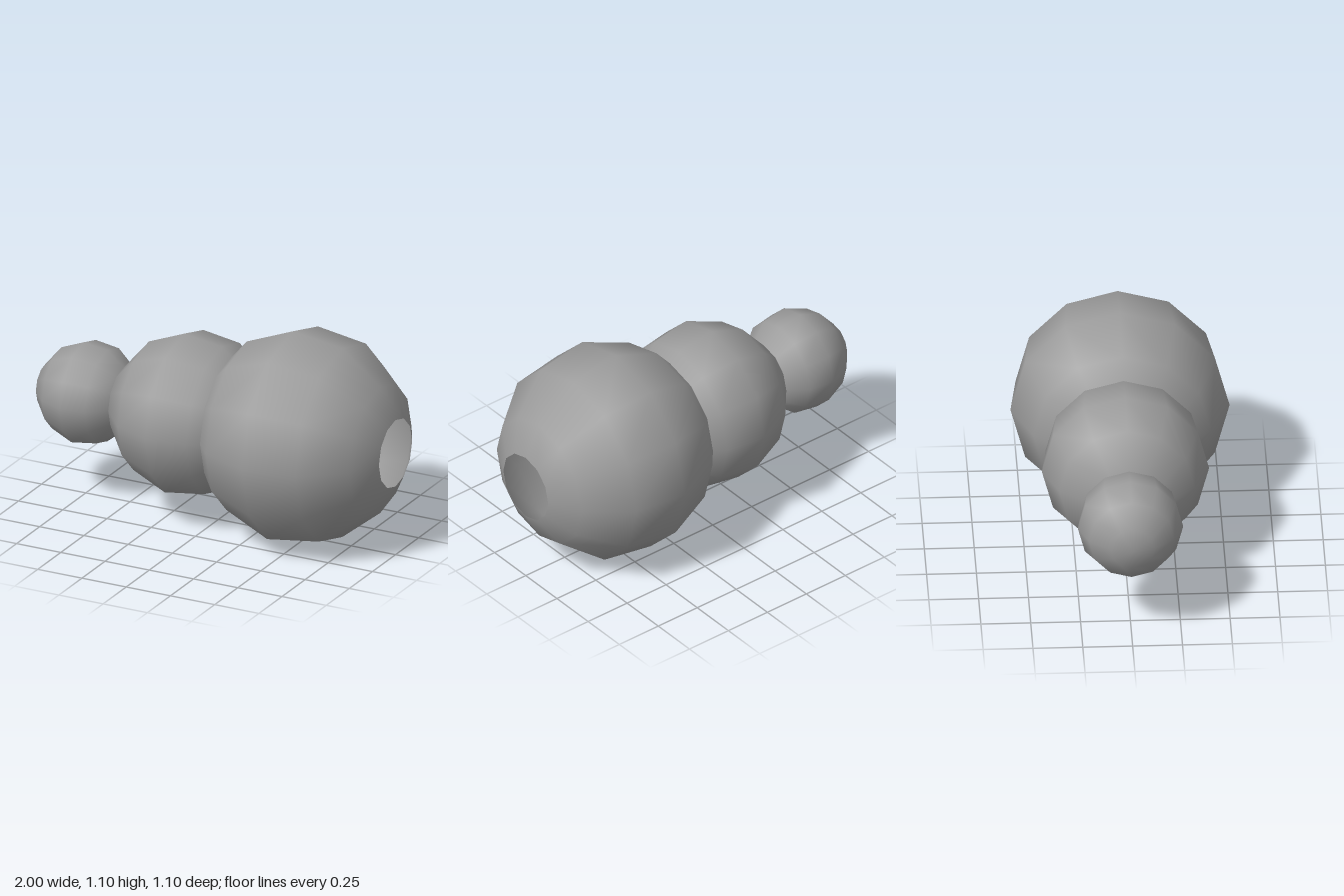
import * as THREE from 'three';

const material = new THREE.MeshStandardMaterial({ color: 0x9b9b9b, side: THREE.DoubleSide });

// Unit ball outline as [along the axis, radius], from the closed pole to the opening
const RINGS = [
  [-1, 0], [-0.905, 0.416], [-0.575, 0.806], [-0.108, 0.994],
  [0.4, 0.925], [0.788, 0.615], [0.944, 0.326],
];

// Twelve-sided hollow ball lying along x, closed at -x and open at +x
function ball(name, x, radius, rings) {
  const profile = rings.map(([along, r]) => new THREE.Vector2(radius * r, radius * along));
  const geometry = new THREE.LatheGeometry(profile, 12);

  // Round, smooth shading
  const p = geometry.attributes.position;
  const n = geometry.attributes.normal;
  const v = new THREE.Vector3();
  for (let i = 0; i < p.count; i++) {
    v.fromBufferAttribute(p, i).normalize();
    n.setXYZ(i, v.x, v.y, v.z);
  }
  geometry.rotateZ(-Math.PI / 2);

  const mesh = new THREE.Mesh(geometry, material);
  mesh.name = name;
  mesh.position.set(x, 0.55, 0);
  return mesh;
}

export function createModel() {
  const group = new THREE.Group();
  group.name = 'stackedBalls';
  group.add(
    ball('largeBall', 0.478, 0.553, RINGS),
    ball('middleBall', -0.15, 0.422, RINGS),
    // The small ball stops where it meets the middle one
    ball('smallBall', -0.734, 0.266, RINGS.slice(0, -1)),
  );
  return group;
}
